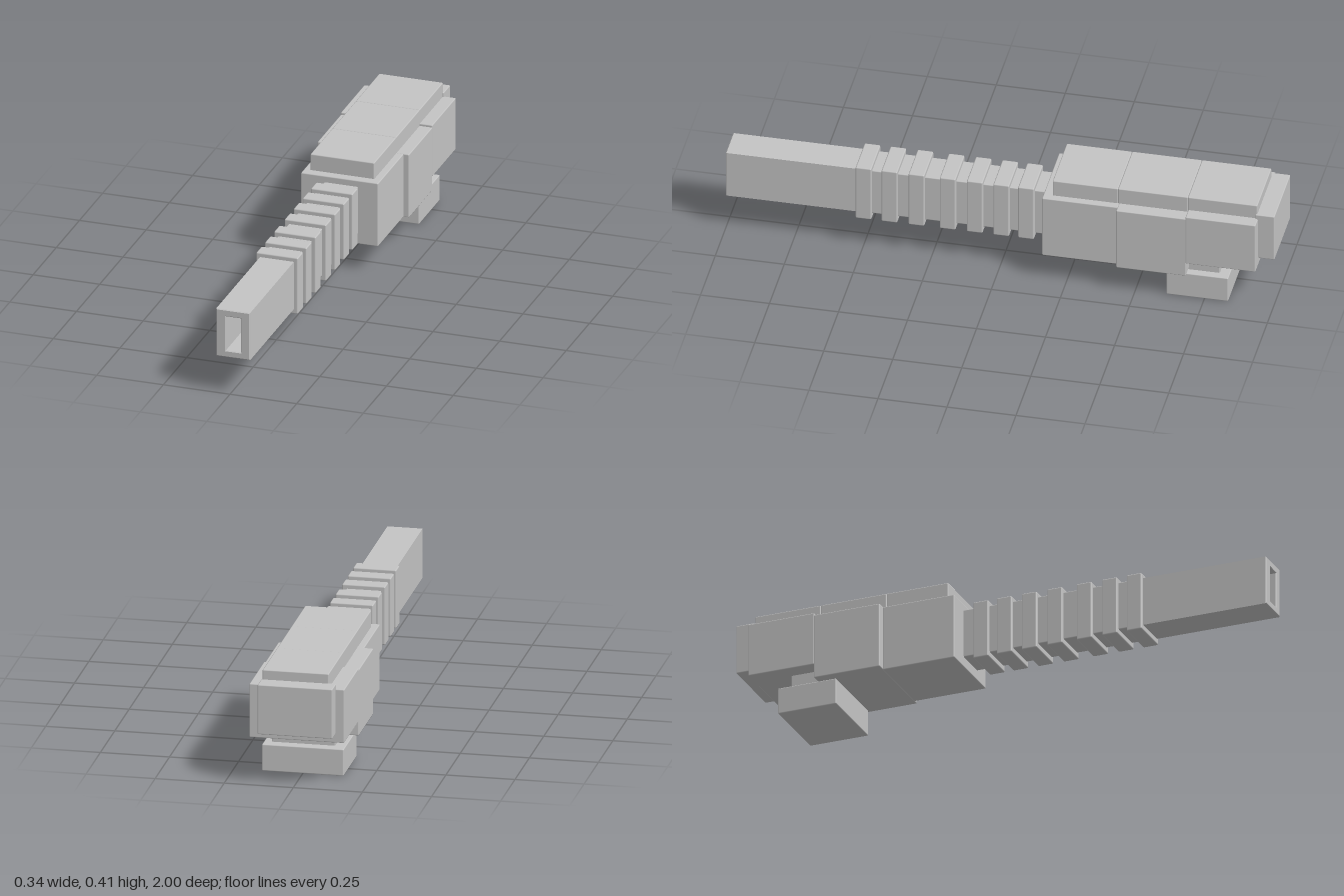
import * as THREE from 'three';
import { RoundedBoxGeometry } from 'three/addons/geometries/RoundedBoxGeometry.js';

const grey = new THREE.MeshStandardMaterial({ color: 0xc4c4c4 });
grey.name = 'plain grey';

// Softly bevelled block given by its extents on each axis
function block(name, [x0, x1], [y0, y1], [z0, z1], bevel = 0.004) {
  const geo = new RoundedBoxGeometry(x1 - x0, y1 - y0, z1 - z0, 1, bevel);
  geo.translate((x0 + x1) / 2, (y0 + y1) / 2, (z0 + z1) / 2);
  const mesh = new THREE.Mesh(geo, grey);
  mesh.name = name;
  return mesh;
}

function rectangle(Type, x0, x1, y0, y1) {
  const p = new Type();
  p.moveTo(x0, y0).lineTo(x1, y0).lineTo(x1, y1).lineTo(x0, y1).closePath();
  return p;
}

export function createModel() {
  const model = new THREE.Group();
  model.name = 'handle';

  // Hollow square tube at the front
  const outline = rectangle(THREE.Shape, -0.052, 0.075, 0.142, 0.325);
  outline.holes.push(rectangle(THREE.Path, -0.016, 0.041, 0.167, 0.299));
  const bevel = 0.003;
  const tubeGeo = new THREE.ExtrudeGeometry(outline, {
    depth: 0.5 - 2 * bevel, bevelEnabled: true, bevelSegments: 1,
    bevelSize: bevel, bevelThickness: bevel, bevelOffset: -bevel,
  });
  tubeGeo.translate(0, 0, 0.5 + bevel);
  const tube = new THREE.Mesh(tubeGeo, grey);
  tube.name = 'frontTube';
  model.add(tube);

  // Solid core running under the ribs into the body
  model.add(block('ribCore', [-0.052, 0.075], [0.142, 0.325], [-0.2, 0.505]));

  // Raised collars along the core
  const ribs = new THREE.Group();
  ribs.name = 'ribs';
  for (const z of [0.498, 0.404, 0.306, 0.193, 0.095, -0.001, -0.091]) {
    ribs.add(block('rib', [-0.067, 0.09], [0.123, 0.341], [z - 0.029, z + 0.029], 0.005));
  }
  model.add(ribs);

  // Body in three sections, with the end cap
  model.add(
    block('frontBody', [-0.139, 0.151], [0.104, 0.349], [-0.437, -0.162]),
    block('middleBody', [-0.172, 0.172], [0.104, 0.349], [-0.688, -0.435]),
    block('rearBody', [-0.172, 0.172], [0.157, 0.357], [-0.94, -0.686]),
    block('endCap', [-0.141, 0.13], [0.19, 0.375], [-1, -0.93]),
  );

  // Three slabs along the top
  for (const z of [[-0.432, -0.195], [-0.685, -0.432], [-0.937, -0.685]]) {
    model.add(block('topSlab', [-0.115, 0.125], [0.335, 0.411], z));
  }

  // Foot hanging below the rear
  model.add(
    block('footNeck', [-0.11, 0.12], [0.09, 0.17], [-0.8, -0.67]),
    block('foot', [-0.148, 0.148], [0, 0.099], [-0.836, -0.612]),
  );
  return model;
}
